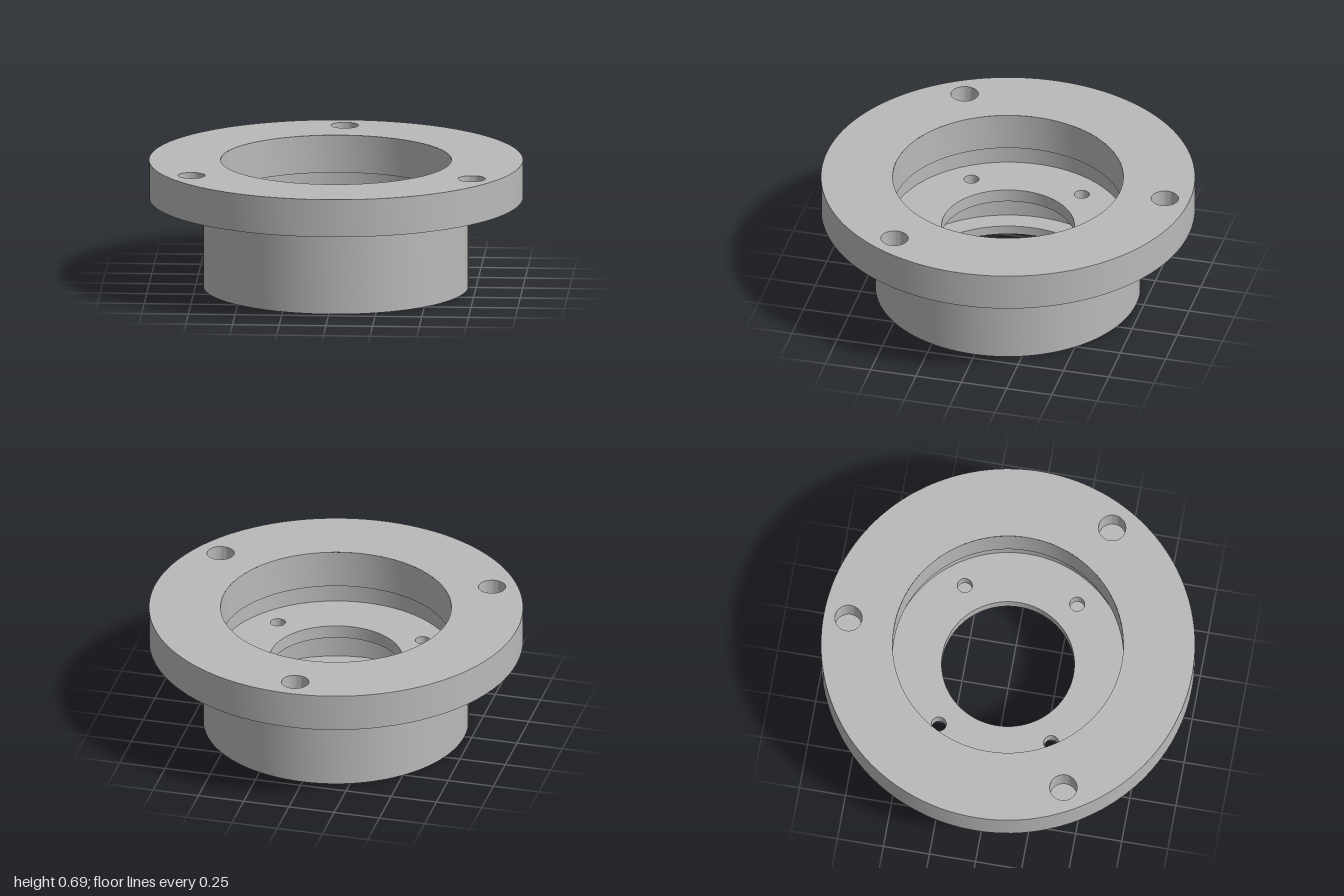
import * as THREE from 'three';
import { toCreasedNormals } from 'three/addons/utils/BufferGeometryUtils.js';

const SEG = 96;

// Disc outline with round holes, each given as [x, z, radius]
function discShape(radius, holes) {
  const shape = new THREE.Shape().absarc(0, 0, radius, 0, Math.PI * 2, false);
  for (const [x, z, r] of holes) {
    shape.holes.push(new THREE.Path().absarc(x, -z, r, 0, Math.PI * 2, true));
  }
  return shape;
}

// Turned surface: profiles run up on the outside and down on the inside
function turned(profile, segments = SEG) {
  const points = profile.map(([r, y]) => new THREE.Vector2(r, y));
  return toCreasedNormals(new THREE.LatheGeometry(points, segments), 0.5);
}

export function createModel() {
  const group = new THREE.Group();
  const metal = new THREE.MeshStandardMaterial({ color: 0xbababa });
  metal.name = 'grey metal';

  const add = (name, geometry) => {
    const mesh = new THREE.Mesh(geometry, metal);
    mesh.name = name;
    group.add(mesh);
    return mesh;
  };

  const top = 0.69, flangeY = 0.485, webTop = 0.384, webBottom = 0.313;
  const recess = 0.635, bore = 0.617;

  // Lower recess, inner lip, hub wall, flange underside and rim
  add('hubAndFlange', turned([
    [recess, webBottom], [recess, 0.05], [0.524, 0.05], [0.524, 0],
    [0.71, 0], [0.71, flangeY], [1, flangeY], [1, top],
  ]));

  // Upper bore with its slight undercut below the flange
  add('upperBore', turned([
    [bore, top], [bore, flangeY], [recess, flangeY], [recess, webTop],
  ]));

  // Web with a centre bore and four small through holes
  const webHoles = [[0, 0, 0.355]];
  for (const sx of [-1, 1]) {
    for (const sz of [-1, 1]) webHoles.push([sx * 0.4, sz * 0.305, 0.04]);
  }
  const web = new THREE.ExtrudeGeometry(discShape(recess, webHoles), {
    depth: webTop - webBottom, bevelEnabled: false, curveSegments: SEG,
  });
  web.rotateX(-Math.PI / 2).translate(0, webBottom, 0);
  add('web', toCreasedNormals(web, 0.5));

  // Flange top face with three blind holes
  const blindHoles = [];
  for (let i = 0; i < 3; i++) {
    const a = -Math.PI / 2 + i * Math.PI * 2 / 3;
    blindHoles.push([0.866 * Math.cos(a), 0.866 * Math.sin(a), 0.073]);
  }
  const face = new THREE.ShapeGeometry(discShape(1, [[0, 0, bore], ...blindHoles]), SEG);
  add('flangeTop', face.rotateX(-Math.PI / 2).translate(0, top, 0));

  for (const [x, z, r] of blindHoles) {
    const depth = 0.14;
    add('blindHole', turned([[r, top], [r, top - depth], [0, top - depth]]))
      .position.set(x, 0, z);
  }

  return group;
}
